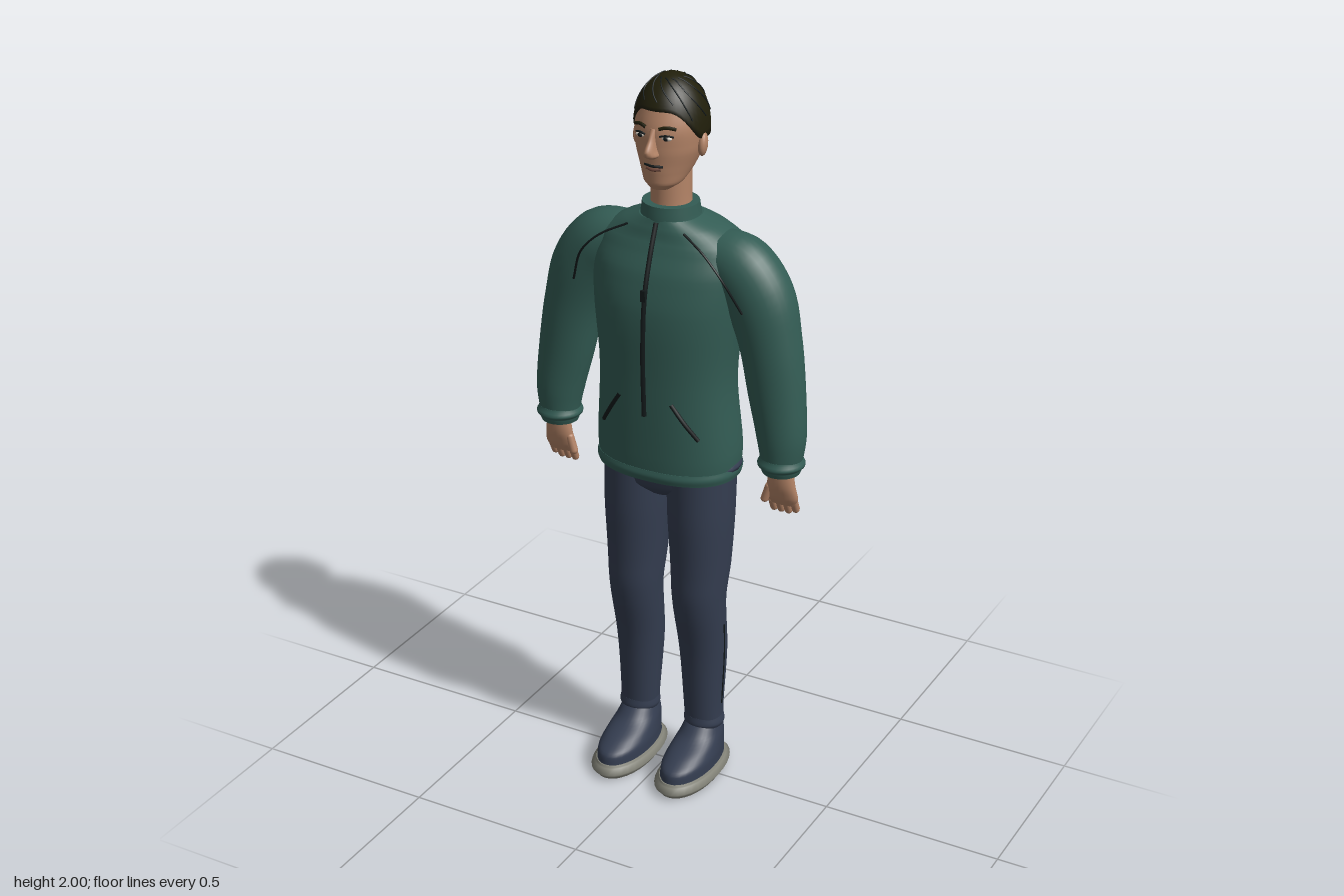
import * as THREE from 'three';

const material = (name, color) => {
  const m = new THREE.MeshStandardMaterial({ color });
  m.name = name;
  return m;
};

// Smooth loft through rings [x, y, z, rx, rz], listed bottom to top.
// n is the superellipse power; tilt turns each ring square to the path.
function loft(rings, { n = 2, steps = 5, sides = 32, tilt = false } = {}) {
  const centres = new THREE.CatmullRomCurve3(rings.map(r => new THREE.Vector3(r[0], r[1], r[2])));
  const radii = new THREE.CatmullRomCurve3(rings.map(r => new THREE.Vector3(r[3], r[4], 0)));
  const rows = (rings.length - 1) * steps;
  const pos = [], index = [];
  const power = v => Math.sign(v) * Math.abs(v) ** (2 / n);
  const addRing = row => {
    const c = centres.getPoint(row / rows), r = radii.getPoint(row / rows);
    const t = centres.getTangent(row / rows);
    const len = Math.hypot(t.x, t.y) || 1;
    const ux = tilt ? t.y / len : 1, uy = tilt ? -t.x / len : 0;
    for (let i = 0; i < sides; i++) {
      const a = i / sides * Math.PI * 2;
      const u = power(Math.cos(a)) * r.x, v = power(Math.sin(a)) * r.y;
      pos.push(c.x + u * ux, c.y + u * uy, c.z + v);
    }
    return c;
  };
  for (let row = 0; row <= rows; row++) addRing(row);
  for (let row = 0; row < rows; row++) {
    for (let i = 0; i < sides; i++) {
      const p = row * sides + i, q = row * sides + (i + 1) % sides;
      index.push(p, p + sides, q, q, p + sides, q + sides);
    }
  }
  // Flat end caps with their own vertices
  for (const row of [0, rows]) {
    const base = pos.length / 3;
    const c = addRing(row);
    pos.push(c.x, c.y, c.z);
    for (let i = 0; i < sides; i++) {
      const p = base + i, q = base + (i + 1) % sides;
      if (row) index.push(base + sides, q, p);
      else index.push(base + sides, p, q);
    }
  }
  return surface(pos, index);
}

function surface(pos, index) {
  const g = new THREE.BufferGeometry();
  g.setAttribute('position', new THREE.Float32BufferAttribute(pos, 3));
  g.setIndex(index);
  g.computeVertexNormals();
  return g;
}

function cord(points, radius, segments = 20) {
  const curve = new THREE.CatmullRomCurve3(points.map(p => new THREE.Vector3(...p)));
  return new THREE.TubeGeometry(curve, segments, radius, 6);
}

// Point on the hair shell: a is measured from the front, y is the height
function hairPoint(a, y, grow = 0) {
  const k = Math.sqrt(Math.max(0, 1 - (Math.max(0, y - 1.87) / 0.13) ** 2));
  return [Math.sin(a) * (0.095 + grow) * k, y + grow * (1 - k), -0.03 + Math.cos(a) * (0.104 + grow) * k];
}
const hairline = a => 1.845 + 0.08 * THREE.MathUtils.smoothstep(Math.cos(a), 0.1, 0.95);

function hairCap() {
  const sides = 48, rows = 14, pos = [], index = [];
  for (let j = 0; j <= rows; j++) {
    for (let i = 0; i < sides; i++) {
      const a = i / sides * Math.PI * 2, low = hairline(a);
      const p = hairPoint(a, low + (2 - low) * Math.sin(Math.max(0, j - 1) / (rows - 1) * Math.PI / 2));
      // First row tucks the edge in towards the scalp
      if (j === 0) { p[0] *= 0.85; p[2] = -0.03 + (p[2] + 0.03) * 0.85; }
      pos.push(...p);
    }
  }
  for (let j = 0; j < rows; j++) {
    for (let i = 0; i < sides; i++) {
      const p = j * sides + i, q = j * sides + (i + 1) % sides;
      index.push(p, q, p + sides, q, q + sides, p + sides);
    }
  }
  return surface(pos, index);
}

export function createModel() {
  const jacket = material('jacket green', 0x335c54);
  const denim = material('trouser blue', 0x343d50);
  const skin = material('skin', 0xb48467);
  const hair = material('hair', 0x211f0b);
  const dark = material('dark trim', 0x12191a);
  const sole = material('sole grey', 0x87877c);
  const white = material('eye white', 0xd8d0c4);
  const lip = material('lips', 0x6b4438);

  const model = new THREE.Group();
  model.name = 'standingMan';
  const add = (name, geometry, mat, x = 0, y = 0, z = 0) => {
    const mesh = new THREE.Mesh(geometry, mat);
    mesh.name = name;
    mesh.position.set(x, y, z);
    model.add(mesh);
    return mesh;
  };

  // Jacket body, hem and collar
  add('jacketBody', loft([
    [0, 0.93, -0.022, 0.195, 0.132], [0, 1.0, -0.023, 0.199, 0.137], [0, 1.2, -0.013, 0.186, 0.132],
    [0, 1.4, -0.022, 0.205, 0.143], [0, 1.5, -0.036, 0.214, 0.137], [0, 1.57, -0.045, 0.2, 0.116],
    [0, 1.61, -0.04, 0.14, 0.098], [0, 1.635, -0.028, 0.08, 0.078]], { n: 2.3, sides: 48 }), jacket);
  add('hemBand', loft([[0, 0.928, -0.022, 0.197, 0.134], [0, 0.945, -0.022, 0.201, 0.138],
    [0, 0.96, -0.022, 0.198, 0.135]], { n: 2.3, sides: 48 }), jacket);
  add('collar', loft([[0, 1.615, -0.028, 0.083, 0.08], [0, 1.64, -0.026, 0.078, 0.077],
    [0, 1.668, -0.025, 0.074, 0.073]]), jacket);

  // Zip and its pull
  add('zip', cord([[0, 1.63, 0.053], [0, 1.55, 0.085], [0, 1.45, 0.114], [0, 1.3, 0.125], [0, 1.12, 0.119]], 0.007, 30), dark);
  add('zipPull', new THREE.BoxGeometry(0.014, 0.03, 0.008), dark, 0, 1.455, 0.121);

  // Trouser top
  add('trouserSeat', loft([[0, 0.86, -0.022, 0.05, 0.07], [0, 0.89, -0.024, 0.15, 0.097],
    [0, 0.94, -0.025, 0.182, 0.106], [0, 0.99, -0.025, 0.182, 0.106]], { n: 2.3 }), denim);

  for (const s of [1, -1]) {
    const side = s > 0 ? 'left' : 'right';
    const flip = rings => rings.map(([x, ...rest]) => [x * s, ...rest]);
    const put = (name, geometry, mat, x = 0, y = 0, z = 0) =>
      add(side + name, geometry, mat, x * s, y, z);

    // Sleeve and cuff
    put('Sleeve', loft(flip([
      [0.333, 1.0, -0.012, 0.052, 0.052], [0.331, 1.08, -0.014, 0.066, 0.06], [0.312, 1.2, -0.02, 0.077, 0.066],
      [0.286, 1.34, -0.027, 0.084, 0.075], [0.25, 1.45, -0.032, 0.093, 0.083],
      [0.2, 1.515, -0.033, 0.09, 0.082], [0.13, 1.545, -0.035, 0.07, 0.07]]), { tilt: true }), jacket);
    put('Cuff', loft(flip([[0.333, 0.984, -0.012, 0.05, 0.05], [0.333, 1.0, -0.012, 0.055, 0.055],
      [0.333, 1.028, -0.012, 0.055, 0.055]])), jacket);

    // Hand, fingers and thumb
    put('Palm', loft(flip([[0.335, 0.886, -0.022, 0.036, 0.012], [0.335, 0.91, -0.018, 0.045, 0.019],
      [0.335, 0.945, -0.01, 0.04, 0.021], [0.335, 1.0, -0.008, 0.032, 0.024]]), { sides: 20 }), skin);
    for (let i = 0; i < 4; i++) {
      const finger = put('Finger' + (i + 1), new THREE.CapsuleGeometry(0.0105, 0.03, 4, 10), skin,
        0.303 + i * 0.021, i === 3 ? 0.882 : 0.875, -0.031);
      finger.rotation.x = 0.45;
    }
    put('Thumb', new THREE.CapsuleGeometry(0.011, 0.04, 4, 10), skin, 0.295, 0.915, -0.008).rotation.z = -s * 0.3;

    // Shoulder seam and slanted pocket
    put('ShoulderSeam', cord(flip([[0.08, 1.615, 0.055], [0.15, 1.58, 0.08], [0.2, 1.53, 0.086], [0.245, 1.43, 0.052]]), 0.003), dark);
    put('Pocket', cord(flip([[0.14, 1.065, 0.083], [0.108, 1.115, 0.102], [0.075, 1.165, 0.112]]), 0.006), dark);

    // Trouser leg, turn-up and side seam
    put('TrouserLeg', loft(flip([
      [0.102, 0.14, -0.035, 0.053, 0.05], [0.1, 0.2, -0.035, 0.055, 0.053], [0.098, 0.37, -0.035, 0.064, 0.068],
      [0.097, 0.55, -0.009, 0.072, 0.076], [0.097, 0.65, -0.018, 0.079, 0.089],
      [0.096, 0.8, -0.021, 0.087, 0.1], [0.094, 0.95, -0.025, 0.09, 0.105]]), { n: 2.1 }), denim);
    put('TurnUp', loft(flip([[0.102, 0.138, -0.035, 0.053, 0.05], [0.102, 0.15, -0.035, 0.057, 0.055],
      [0.101, 0.17, -0.035, 0.054, 0.052]])), denim);
    put('LegSeam', cord(flip([[0.156, 0.21, -0.035], [0.162, 0.36, -0.035], [0.166, 0.47, -0.025]]), 0.002), dark);

    // Shoe
    put('Sole', loft(flip([[0.1, 0, 0.03, 0.069, 0.141], [0.1, 0.006, 0.03, 0.072, 0.145],
      [0.1, 0.034, 0.03, 0.072, 0.145], [0.1, 0.042, 0.03, 0.069, 0.141]]), { steps: 2, n: 2.1 }), sole);
    put('ShoeUpper', loft(flip([[0.1, 0.038, 0.03, 0.067, 0.139], [0.1, 0.068, 0.027, 0.066, 0.135],
      [0.1, 0.09, 0.008, 0.062, 0.114], [0.1, 0.118, -0.024, 0.055, 0.077], [0.1, 0.148, -0.037, 0.047, 0.054]]), { n: 2.1 }), denim);

    // Ear
    const ear = put('Ear', new THREE.SphereGeometry(1, 16, 12), skin, 0.09, 1.83, -0.025);
    ear.scale.set(0.013, 0.031, 0.02);
    ear.rotation.set(-0.15, s * 0.3, 0);

    // Eye, iris and brow
    put('Eye', new THREE.SphereGeometry(1, 16, 10), white, 0.036, 1.861, 0.064).scale.set(0.015, 0.006, 0.007);
    put('Iris', new THREE.SphereGeometry(1, 12, 8), dark, 0.036, 1.861, 0.068).scale.set(0.007, 0.0062, 0.005);
    put('EyeLid', cord(flip([[0.02, 1.865, 0.071], [0.036, 1.869, 0.069], [0.053, 1.865, 0.058]]), 0.0025), dark);
    put('Brow', cord(flip([[0.018, 1.884, 0.071], [0.036, 1.889, 0.066], [0.057, 1.884, 0.053]]), 0.0045), hair);
  }

  // Neck and head
  add('neck', loft([[0, 1.62, -0.027, 0.058, 0.056], [0, 1.68, -0.027, 0.053, 0.053], [0, 1.78, -0.028, 0.052, 0.053]]), skin);
  add('head', loft([
    [0, 1.718, 0.028, 0.026, 0.026], [0, 1.735, 0.012, 0.05, 0.052], [0, 1.77, -0.01, 0.067, 0.078],
    [0, 1.82, -0.022, 0.085, 0.094], [0, 1.87, -0.027, 0.09, 0.099], [0, 1.93, -0.03, 0.077, 0.084],
    [0, 1.97, -0.03, 0.045, 0.05]], { sides: 40 }), skin);
  add('nose', loft([[0, 1.806, 0.07, 0.008, 0.012], [0, 1.816, 0.074, 0.019, 0.027], [0, 1.83, 0.076, 0.014, 0.03],
    [0, 1.855, 0.071, 0.009, 0.017], [0, 1.882, 0.066, 0.008, 0.007]], { sides: 16 }), skin);
  add('lowerLip', cord([[-0.02, 1.777, 0.064], [0, 1.775, 0.07], [0.02, 1.777, 0.064]], 0.004), lip);
  add('mouthLine', cord([[-0.026, 1.785, 0.063], [0, 1.785, 0.071], [0.026, 1.785, 0.063]], 0.0035), dark);

  // Hair with a swirl of combed strands
  add('hair', hairCap(), hair);
  for (let i = 0; i < 12; i++) {
    const strand = [];
    for (let k = 0; k <= 6; k++) {
      const t = k / 6, a = i / 12 * Math.PI * 2 + t * 1.1;
      const low = Math.max(hairline(a) + 0.02, 1.9);
      strand.push(hairPoint(a, low + (1.993 - low) * Math.sin((1 - t) * Math.PI / 2), 0.0005));
    }
    add('hairStrand' + (i + 1), cord(strand, 0.0018), dark);
  }
  return model;
}
